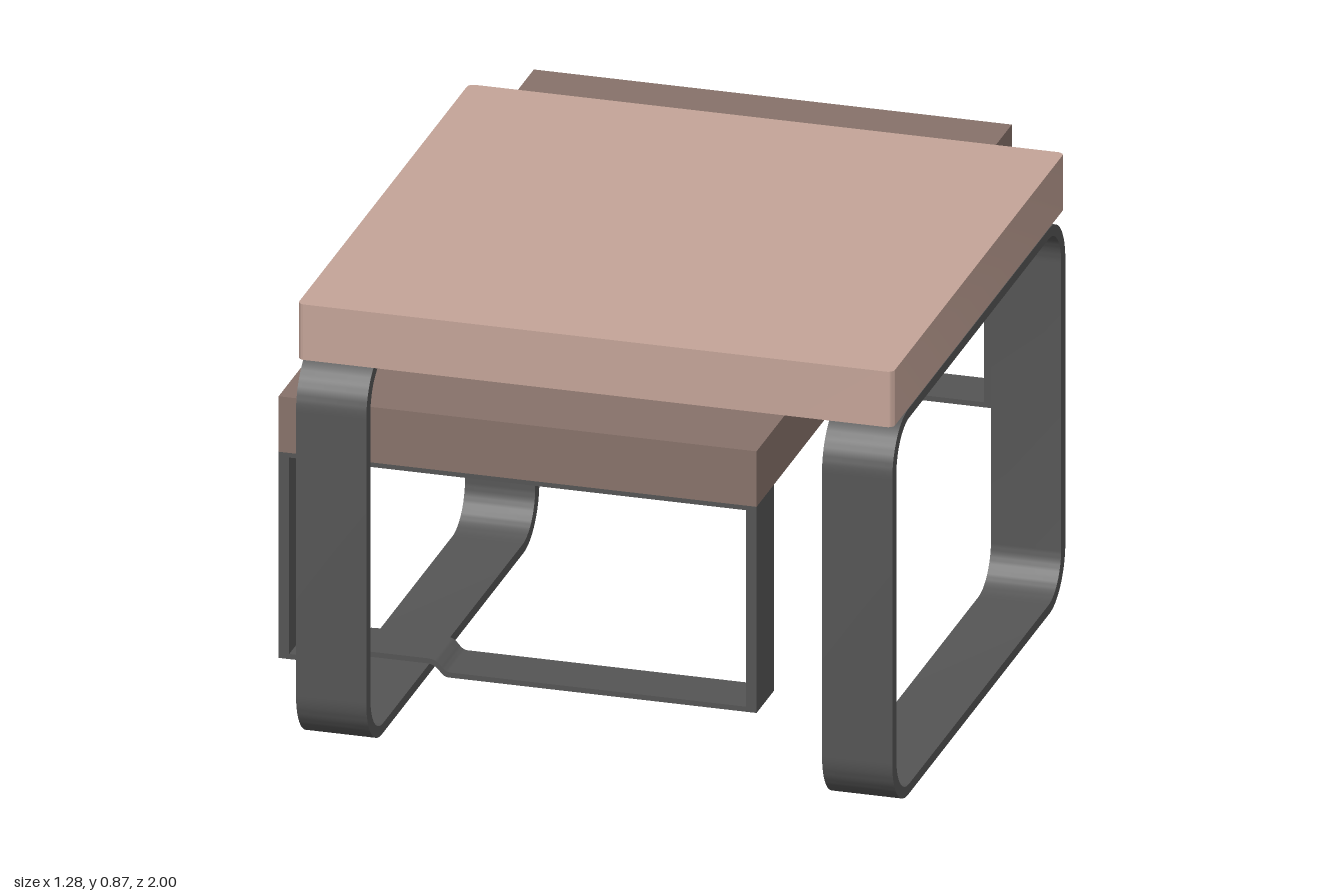
import * as THREE from 'three';
import { toCreasedNormals } from 'three/addons/utils/BufferGeometryUtils.js';

const pale = new THREE.MeshStandardMaterial({ color: 0xc4a498 });
const brown = new THREE.MeshStandardMaterial({ color: 0x87726a });
const steel = new THREE.MeshStandardMaterial({ color: 0x555555 });

// Rounded rectangle traced counter-clockwise
function roundedRect(path, x0, y0, x1, y1, r) {
  path.moveTo(x0 + r, y0);
  path.lineTo(x1 - r, y0);
  path.absarc(x1 - r, y0 + r, r, -Math.PI / 2, 0);
  path.lineTo(x1, y1 - r);
  path.absarc(x1 - r, y1 - r, r, 0, Math.PI / 2);
  path.lineTo(x0 + r, y1);
  path.absarc(x0 + r, y1 - r, r, Math.PI / 2, Math.PI);
  path.lineTo(x0, y0 + r);
  path.absarc(x0 + r, y0 + r, r, Math.PI, Math.PI * 1.5);
  return path;
}

function extrude(shape, depth) {
  return new THREE.ExtrudeGeometry(shape, { depth, bevelEnabled: false, curveSegments: 10 });
}

function part(name, geometry, material) {
  const mesh = new THREE.Mesh(toCreasedNormals(geometry, 0.6), material);
  mesh.name = name;
  return mesh;
}

// Flat board: shape drawn in x and -z, extruded upwards from y
function board(name, shape, y, height, material) {
  return part(name, extrude(shape, height).rotateX(-Math.PI / 2).translate(0, y, 0), material);
}

// Rounded strap loop standing in the z-y plane
function sideLoop(name, x, width) {
  const shape = roundedRect(new THREE.Shape(), -0.092, 0, 1, 0.757, 0.1);
  shape.holes.push(roundedRect(new THREE.Path(), -0.066, 0.019, 0.974, 0.738, 0.08));
  return part(name, extrude(shape, width).rotateY(-Math.PI / 2).translate(x + width, 0, 0), steel);
}

// Bottom edge of a rectangular loop, optionally humped over the strap it crosses
function hump(path, y, inset) {
  const a = -0.53 + inset, b = -0.318 - inset, top = y + 0.023;
  path.lineTo(a, y);
  path.bezierCurveTo(a + 0.018, y, a + 0.016, top, a + 0.042, top);
  path.lineTo(b - 0.042, top);
  path.bezierCurveTo(b - 0.016, top, b - 0.018, y, b, y);
}

// Rectangular strap loop standing in the x-y plane
function endLoop(name, z, humped) {
  const outline = (path, x0, y0, x1, y1, inset) => {
    path.moveTo(x0, y0);
    if (humped) hump(path, y0, inset);
    path.lineTo(x1, y0);
    path.lineTo(x1, y1);
    path.lineTo(x0, y1);
    path.closePath();
    return path;
  };
  const shape = outline(new THREE.Shape(), -0.64, 0, 0.265, 0.405, 0);
  shape.holes.push(outline(new THREE.Path(), -0.62, 0.01, 0.245, 0.396, -0.003));
  return part(name, extrude(shape, 0.11).translate(0, 0, z), steel);
}

export function createModel() {
  const model = new THREE.Group();
  model.name = 'nestingTables';

  // Tall table
  const tall = new THREE.Group();
  tall.name = 'tallTable';
  tall.add(
    board('tallTop', roundedRect(new THREE.Shape(), -0.49, -0.992, 0.638, 0.09, 0.013), 0.757, 0.109, pale),
    sideLoop('tallRightLeg', -0.49, 0.133),
    sideLoop('tallLeftLeg', 0.506, 0.133)
  );

  // Low table, its top notched around the tall table's leg
  const lowShape = new THREE.Shape([
    [-0.64, -0.61], [0.265, -0.61], [0.265, 1], [-0.64, 1],
    [-0.64, 0.106], [-0.34, 0.106], [-0.34, 0.06], [-0.64, 0.06]
  ].map(([x, y]) => new THREE.Vector2(x, y)));
  const low = new THREE.Group();
  low.name = 'lowTable';
  low.add(
    board('lowTop', lowShape, 0.405, 0.109, brown),
    endLoop('lowFrontLeg', 0.5, true),
    endLoop('lowBackLeg', -1, false)
  );

  model.add(tall, low);
  return model;
}
